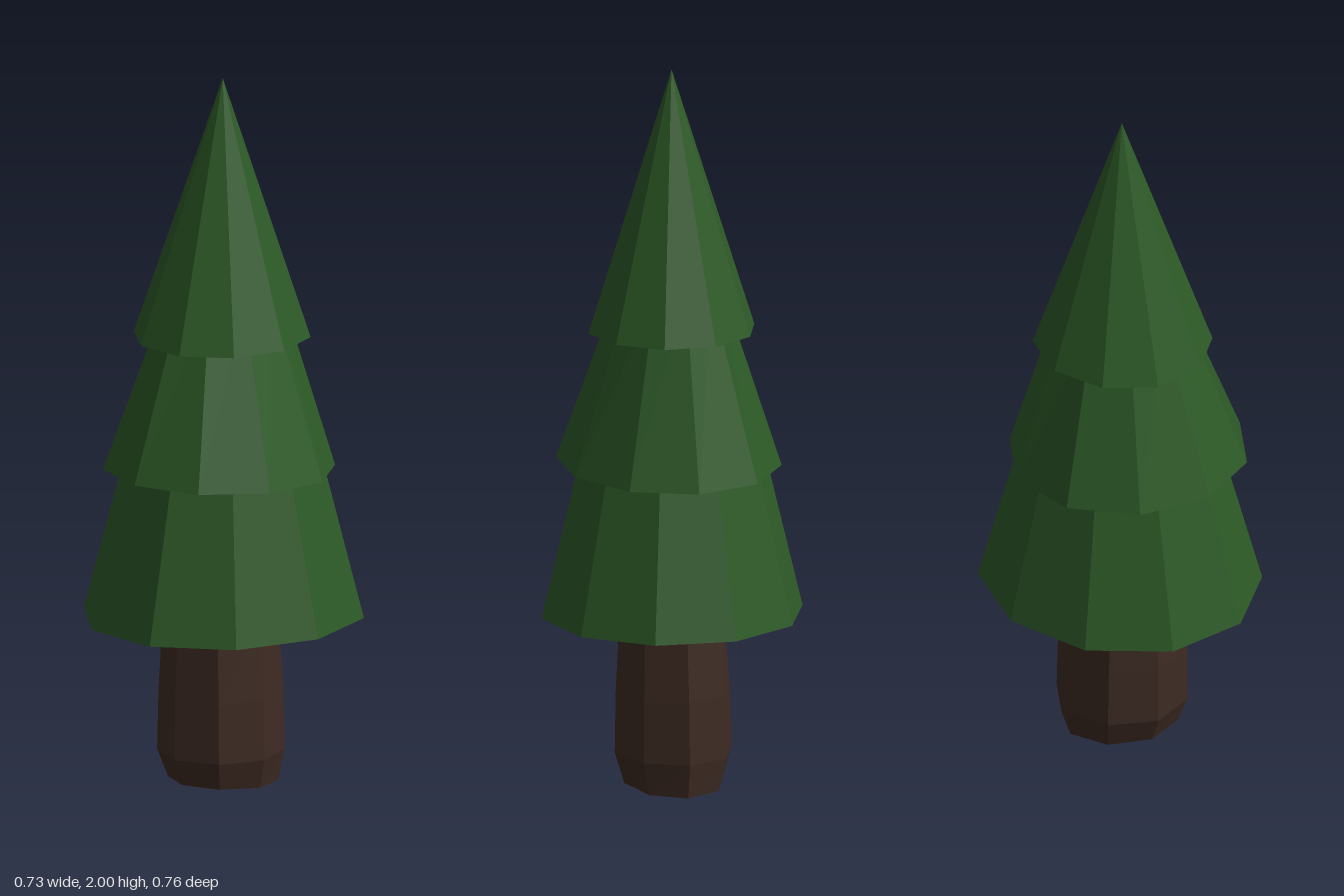
import * as THREE from 'three';

const DEG = Math.PI / 180;

// Closed faceted solid through a stack of elliptical rings, bottom to top.
// ring: y, rx, rz, centre cx/cz, tilt (rise in y per unit z)
// tip: [x, y, z] where the top fan meets; turnX/turnZ: starting angle in degrees
function facetedStack(name, color, sides, rings, tip, turnX, turnZ = turnX) {
  const positions = [];
  const index = [];
  for (const { y, rx, rz, cx = 0, cz = 0, tilt = 0 } of rings) {
    for (let i = 0; i < sides; i++) {
      const t = (i / sides) * Math.PI * 2;
      const dz = rz * Math.sin(t + turnZ * DEG);
      positions.push(cx + rx * Math.cos(t + turnX * DEG), y + tilt * dz, cz + dz);
    }
  }
  const base = rings[0];
  const bottomCentre = positions.length / 3;
  positions.push(base.cx ?? 0, base.y, base.cz ?? 0, ...tip);
  const last = (rings.length - 1) * sides;

  for (let i = 0; i < sides; i++) {
    const k = (i + 1) % sides;
    for (let row = 0; row < last; row += sides) {
      const a = row + i, b = row + k;
      index.push(a, a + sides, b, b, a + sides, b + sides);
    }
    index.push(bottomCentre, i, k);
    index.push(bottomCentre + 1, last + k, last + i);
  }

  const indexed = new THREE.BufferGeometry();
  indexed.setAttribute('position', new THREE.Float32BufferAttribute(positions, 3));
  indexed.setIndex(index);
  const geometry = indexed.toNonIndexed();
  geometry.computeVertexNormals();
  const mesh = new THREE.Mesh(geometry, new THREE.MeshStandardMaterial({ color, flatShading: true }));
  mesh.name = name;
  return mesh;
}

export function createModel() {
  const tree = new THREE.Group();
  tree.name = 'pineTree';
  const green = 0x2d5a27;
  const brown = 0x3e2b23;

  // Trunk: eight sides, bevelled foot, gentle taper into the foliage
  tree.add(facetedStack('trunk', brown, 8, [
    { y: 0.015, rx: 0.138, rz: 0.162, cx: -0.004, tilt: 0.09 },
    { y: 0.1, rx: 0.164, rz: 0.183, cx: -0.005, cz: 0.007, tilt: 0.03 },
    { y: 0.27, rx: 0.16, rz: 0.18, cx: -0.004, cz: 0.008 },
    { y: 0.485, rx: 0.146, rz: 0.168, cx: -0.002, cz: 0.012 },
    { y: 0.6, rx: 0.13, rz: 0.15, cz: 0.01 },
  ], [0, 0.6, 0.01], 0));

  // Lower tier: widest, slightly skewed ring
  tree.add(facetedStack('lowerFoliage', green, 10, [
    { y: 0.485, rx: 0.365, rz: 0.394 },
    { y: 1.05, rx: 0.228, rz: 0.246 },
  ], [0, 1.05, 0], 5, 1.5));

  // Middle tier: hem tilted up towards the front
  tree.add(facetedStack('middleFoliage', green, 10, [
    { y: 0.9025, rx: 0.305, rz: 0.332, cx: 0.003, cz: 0.0225, tilt: 0.053 },
    { y: 1.4, rx: 0.135, rz: 0.169, cx: 0.002, cz: 0.006 },
  ], [0, 1.4, 0.006], 18));

  // Top tier: pointed cone
  tree.add(facetedStack('topFoliage', green, 10, [
    { y: 1.275, rx: 0.233, rz: 0.248, cz: 0.007 },
  ], [0, 2, 0.005], 2, 0));

  return tree;
}
